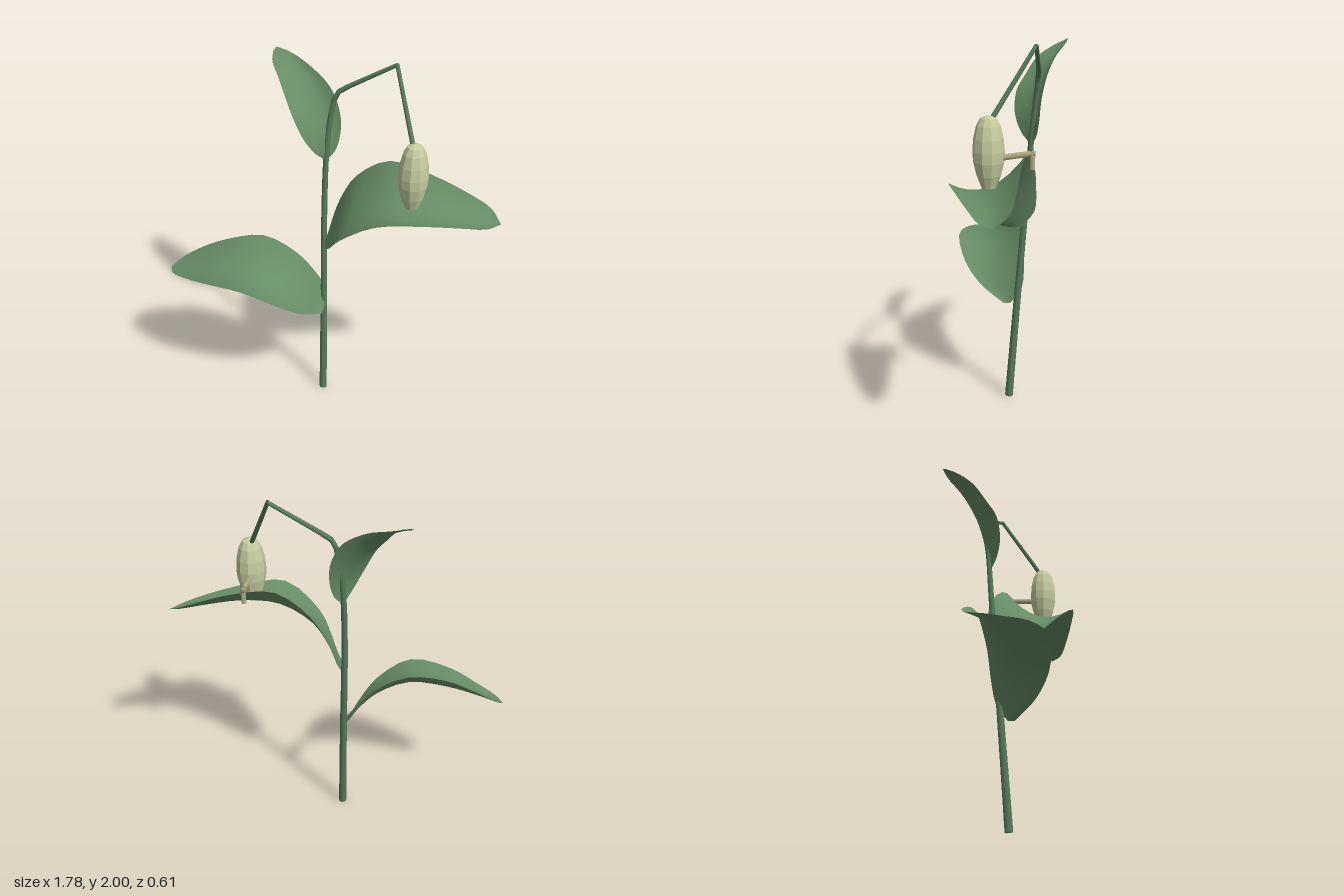
import * as THREE from 'three';

const mat = (name, color, extra = {}) => {
  const m = new THREE.MeshStandardMaterial({ color, ...extra });
  m.name = name;
  return m;
};
const curve = pts => new THREE.CatmullRomCurve3(pts.map(p => new THREE.Vector3(...p)));

// Tube that tapers from r0 to r1, with closed ends
function taperedTube(path, segments, r0, r1, sides) {
  const geo = new THREE.TubeGeometry(path, segments, 1, sides, false);
  const pos = geo.attributes.position, v = new THREE.Vector3();
  const index = Array.from(geo.index.array);
  for (let i = 0; i <= segments; i++) {
    const c = path.getPointAt(i / segments);
    const r = r0 + (r1 - r0) * i / segments;
    for (let j = 0; j <= sides; j++) {
      const k = i * (sides + 1) + j;
      v.fromBufferAttribute(pos, k).sub(c).multiplyScalar(r).add(c);
      pos.setXYZ(k, v.x, v.y, v.z);
    }
  }
  const last = segments * (sides + 1);
  for (let j = 1; j < sides - 1; j++) {
    index.push(0, j, j + 1, last, last + j + 1, last + j);
  }
  geo.setIndex(index);
  return geo;
}

// Curved leaf blade: each cross-section is a parabola through edge, midrib, edge
function leafGeometry(edgeA, midrib, edgeB, rows = 24, cols = 8) {
  const [a, m, b] = [edgeA, midrib, edgeB].map(curve);
  const pos = [], index = [];
  for (let i = 0; i <= rows; i++) {
    const [pa, pm, pb] = [a, m, b].map(c => c.getPoint(i / rows));
    for (let j = 0; j <= cols; j++) {
      const t = j / cols;
      const p = new THREE.Vector3()
        .addScaledVector(pa, (1 - t) * (1 - 2 * t))
        .addScaledVector(pm, 4 * t * (1 - t))
        .addScaledVector(pb, t * (2 * t - 1));
      pos.push(p.x, p.y, p.z);
      if (i < rows && j < cols) {
        const k = i * (cols + 1) + j, n = k + cols + 1;
        index.push(k, k + 1, n, k + 1, n + 1, n);
      }
    }
  }
  const geo = new THREE.BufferGeometry();
  geo.setAttribute('position', new THREE.Float32BufferAttribute(pos, 3));
  geo.setIndex(index);
  geo.computeVertexNormals();
  return geo;
}

export function createModel() {
  const group = new THREE.Group();
  const leafMat = mat('leaf green', 0x668c66, { side: THREE.DoubleSide });
  const stemMat = mat('stem green', 0x567b59);
  const podMat = mat('pale pod', 0xc6cd9f, { flatShading: true });
  const hookMat = mat('hook tan', 0xb5af87);
  const add = (name, geo, material) => {
    const mesh = new THREE.Mesh(geo, material);
    mesh.name = name;
    group.add(mesh);
    return mesh;
  };

  // Leaning main stem, bending over at the top
  add('stem', taperedTube(curve([
    [-0.022, 0, -0.02], [-0.03, 0.6, -0.065], [-0.04, 1.2, -0.112], [-0.035, 1.5, -0.135],
    [-0.015, 1.72, -0.158], [0.01, 1.81, -0.168], [0.06, 1.847, -0.172]]), 36, 0.022, 0.013, 8), stemMat);

  // Arching branch and drooping stalk
  const straight = (a, b) => new THREE.LineCurve3(new THREE.Vector3(...a), new THREE.Vector3(...b));
  add('branch', taperedTube(straight([0.05, 1.842, -0.172], [0.306, 1.989, -0.172]), 1, 0.0125, 0.01, 8), stemMat);
  add('stalk', taperedTube(straight([0.304, 1.992, -0.172], [0.44, 1.67, 0.025]), 1, 0.01, 0.012, 8), stemMat);

  // Faceted hanging pod
  const profile = [[0, 0], [0.035, 0], [0.058, 0.06], [0.073, 0.125], [0.076, 0.175],
    [0.071, 0.235], [0.057, 0.295], [0.038, 0.33], [0, 0.345]];
  add('pod', new THREE.LatheGeometry(profile.map(p => new THREE.Vector2(...p)), 10), podMat)
    .position.set(0.452, 1.348, 0.038);

  // Small hook behind the pod
  add('hookArm', taperedTube(straight([0.452, 1.49, 0.0], [0.452, 1.518, -0.178]), 1, 0.015, 0.014, 6), hookMat);
  add('hookEnd', taperedTube(straight([0.452, 1.528, -0.166], [0.452, 1.44, -0.166]), 1, 0.013, 0.012, 6), hookMat);

  // Low leaf on the right
  add('lowerLeaf', leafGeometry(
    [[-0.02, 0.57, -0.03], [-0.025, 0.66, -0.09], [-0.1, 0.78, -0.095], [-0.2, 0.89, -0.08], [-0.37, 0.975, -0.06],
      [-0.57, 0.94, -0.02], [-0.73, 0.865, 0], [-0.85, 0.785, 0.03], [-0.89, 0.75, 0.07]],
    [[-0.02, 0.565, -0.01], [-0.05, 0.6, 0], [-0.1, 0.665, 0.03], [-0.2, 0.76, 0.07], [-0.37, 0.835, 0.1],
      [-0.58, 0.82, 0.1], [-0.74, 0.785, 0.09], [-0.85, 0.757, 0.08], [-0.89, 0.75, 0.07]],
    [[-0.02, 0.565, 0.01], [-0.06, 0.6, 0.08], [-0.1, 0.645, 0.15], [-0.19, 0.735, 0.24], [-0.37, 0.835, 0.3],
      [-0.6, 0.82, 0.26], [-0.75, 0.78, 0.19], [-0.85, 0.755, 0.13], [-0.89, 0.75, 0.07]]), leafMat);

  // Middle leaf on the left
  add('middleLeaf', leafGeometry(
    [[-0.02, 1.01, -0.09], [-0.005, 1.1, -0.155], [0.03, 1.21, -0.165], [0.12, 1.37, -0.16], [0.3, 1.492, -0.14],
      [0.52, 1.455, -0.12], [0.7, 1.39, -0.11], [0.83, 1.33, -0.09], [0.888, 1.285, -0.03]],
    [[-0.02, 1.005, -0.05], [0.01, 1.06, -0.04], [0.05, 1.12, -0.01], [0.13, 1.215, 0.03], [0.31, 1.315, 0.05],
      [0.5, 1.335, 0.03], [0.68, 1.315, 0], [0.82, 1.29, -0.02], [0.888, 1.285, -0.03]],
    [[-0.02, 1.005, -0.01], [0.02, 1.035, 0.06], [0.06, 1.09, 0.13], [0.13, 1.19, 0.2], [0.32, 1.33, 0.25],
      [0.5, 1.335, 0.195], [0.7, 1.31, 0.11], [0.83, 1.285, 0.04], [0.888, 1.282, -0.03]]), leafMat);

  // Small upright leaf near the top
  add('upperLeaf', leafGeometry(
    [[-0.045, 1.46, -0.12], [-0.08, 1.51, -0.075], [-0.13, 1.6, -0.04], [-0.185, 1.71, -0.045],
      [-0.23, 1.78, -0.085], [-0.29, 1.87, -0.145], [-0.345, 1.92, -0.22], [-0.36, 1.95, -0.28]],
    [[-0.035, 1.457, -0.13], [-0.04, 1.52, -0.125], [-0.06, 1.61, -0.13], [-0.095, 1.71, -0.155],
      [-0.14, 1.79, -0.185], [-0.21, 1.87, -0.225], [-0.3, 1.93, -0.27], [-0.36, 1.95, -0.285]],
    [[-0.025, 1.46, -0.14], [0.005, 1.5, -0.16], [0.025, 1.58, -0.175], [0.022, 1.69, -0.185],
      [-0.035, 1.815, -0.21], [-0.15, 1.9, -0.25], [-0.27, 1.945, -0.298], [-0.35, 1.965, -0.305]]), leafMat);

  return group;
}
